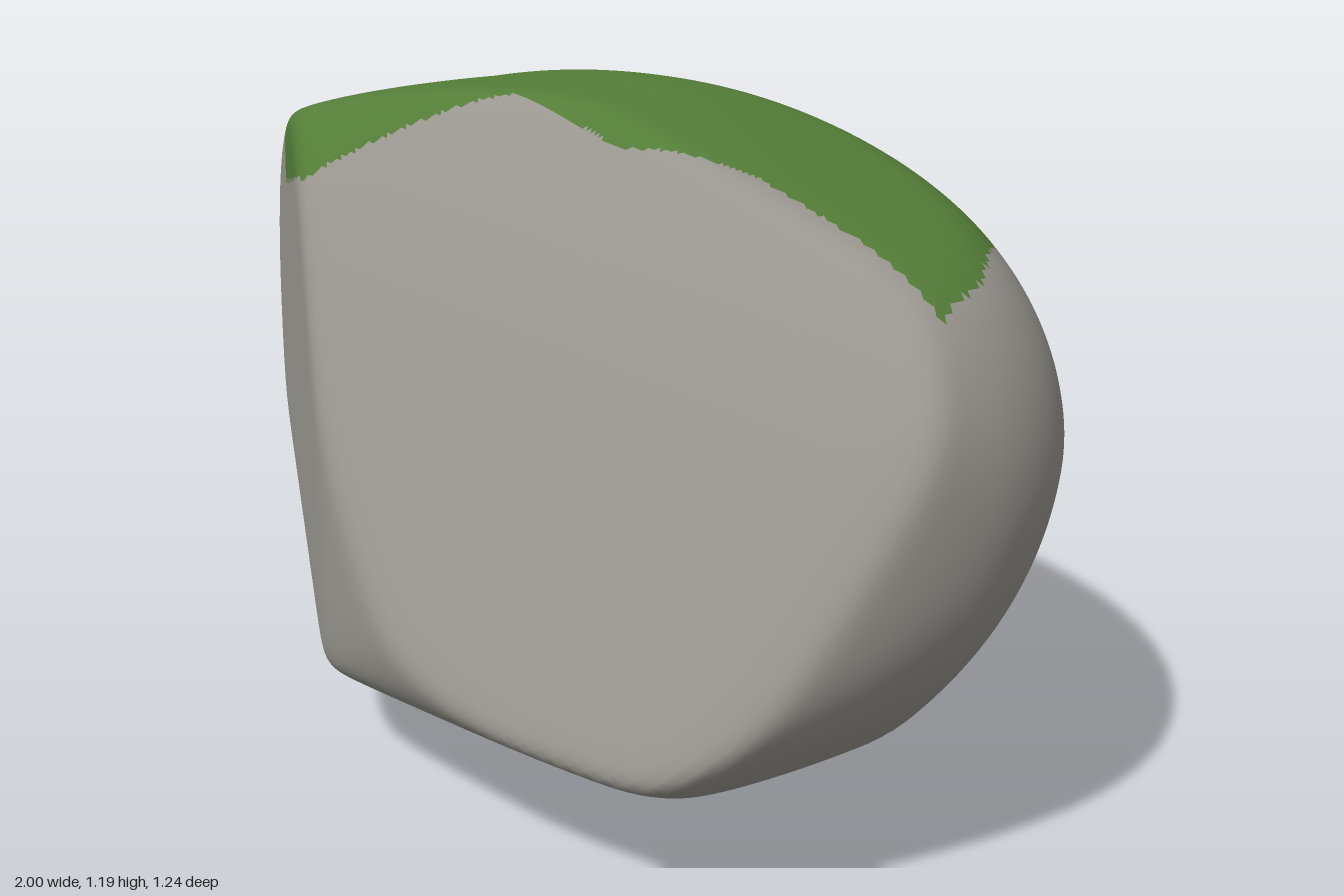
import * as THREE from 'three';
import { mergeVertices } from 'three/addons/utils/BufferGeometryUtils.js';

// Flat facets worn into the boulder: normal and distance from its centre
const facets = [
  [0.3, 0.44, 0.845, 0.488],    // broad sloping front face
  [0.3, 0.6, 0.74, 0.508],      // upper part of that face
  [-0.46, 0, 0.89, 0.518],      // upright front face on the right
  [-0.5, -0.45, 0.74, 0.645],   // lower right of the front
  [-0.18, 0, 0.98, 0.568],      // bevel between the two front faces
  [0, -0.385, 0.92, 0.685],     // front lower lip
  [0.08, -0.867, 0.488, 0.634], // front undercut
  [0, -0.95, 0.3, 0.595],       // underside, front
  [0, -0.85, -0.53, 0.525],     // underside, back
  [0.92, 0, 0.39, 0.97],        // left end
  [0.33, 0.94, 0, 0.605],       // top, left slope
  [0, 0.7, 0.71, 0.62],         // top, front edge
];

// Outline of the moss seen from above (x, z)
const mossOutline = [
  [-0.86, -0.16], [-0.79, -0.36], [-0.57, -0.47], [-0.27, -0.55], [-0.05, -0.44],
  [0.04, -0.57], [0.24, -0.45], [0.48, -0.45], [0.69, -0.3], [0.83, -0.1],
  [0.88, 0.05], [0.72, 0.04], [0.5, 0.06], [0.29, 0.17], [0.04, 0.2],
  [-0.28, 0.47], [-0.53, 0.36], [-0.61, 0.18], [-0.85, 0.06],
];

// Distance from centre to surface: a rounded body softly cut by the facets
function radius(v) {
  const z = v.z - 0.06 * v.x;
  const back = Math.max(0, -z);
  // The back is fullest above mid height, so its lower half is drawn in
  const above = Math.max(0, v.y - 0.07 * back) / 0.58;
  const below = Math.max(0, 0.32 * back - v.y) / 0.615;
  const depth = Math.abs(z) / (z > 0 ? 1.3 : 0.63);
  const e = 2.15;
  const body = (Math.abs(v.x) ** e + above ** e + below ** e + depth ** e) ** (1 / e);
  const p = 44;
  let sum = body ** p;
  for (const [a, b, c, d] of facets) {
    sum += Math.max(0, (a * v.x + b * v.y + c * v.z) / d) ** p;
  }
  return sum ** (-1 / p);
}

function insideOutline(x, z) {
  let inside = false;
  mossOutline.forEach(([x1, z1], i) => {
    const [x2, z2] = mossOutline[(i + 1) % mossOutline.length];
    if ((z1 > z) !== (z2 > z) && x < x1 + (x2 - x1) * (z - z1) / (z2 - z1)) inside = !inside;
  });
  return inside;
}

function boulderGeometry() {
  let geo = new THREE.IcosahedronGeometry(1, 70);
  geo.deleteAttribute('uv');
  geo.deleteAttribute('normal');
  geo = mergeVertices(geo, 1e-5);
  const pos = geo.attributes.position;
  const v = new THREE.Vector3();
  for (let i = 0; i < pos.count; i++) {
    v.fromBufferAttribute(pos, i).normalize();
    v.multiplyScalar(radius(v));
    pos.setXYZ(i, v.x, v.y, v.z);
  }
  // Stand it on the ground, centred
  geo.computeBoundingBox();
  const mid = geo.boundingBox.getCenter(new THREE.Vector3());
  geo.translate(-mid.x, -geo.boundingBox.min.y, -mid.z);
  geo.computeVertexNormals();
  return geo;
}

export function createModel() {
  const group = new THREE.Group();
  group.name = 'mossyBoulder';
  const geo = boulderGeometry();
  const pos = geo.attributes.position;
  const index = geo.index.array;

  // Share the faces out between bare stone and moss
  const stoneFaces = [], mossFaces = [];
  for (let i = 0; i < index.length; i += 3) {
    const tri = [index[i], index[i + 1], index[i + 2]];
    const mean = (axis) => tri.reduce((s, k) => s + pos['get' + axis](k), 0) / 3;
    const x = mean('X'), y = mean('Y'), z = mean('Z');
    const mossy = y > 0.84 + 0.4 * Math.max(0, z) && insideOutline(x, z);
    (mossy ? mossFaces : stoneFaces).push(...tri);
  }

  const addPart = (name, faces, color) => {
    const part = geo.clone();
    part.setIndex(faces);
    const mesh = new THREE.Mesh(part.toNonIndexed(), new THREE.MeshStandardMaterial({ color }));
    mesh.name = name;
    group.add(mesh);
  };
  addPart('stone', stoneFaces, 0x99968f);
  addPart('moss', mossFaces, 0x547d38);
  return group;
}
